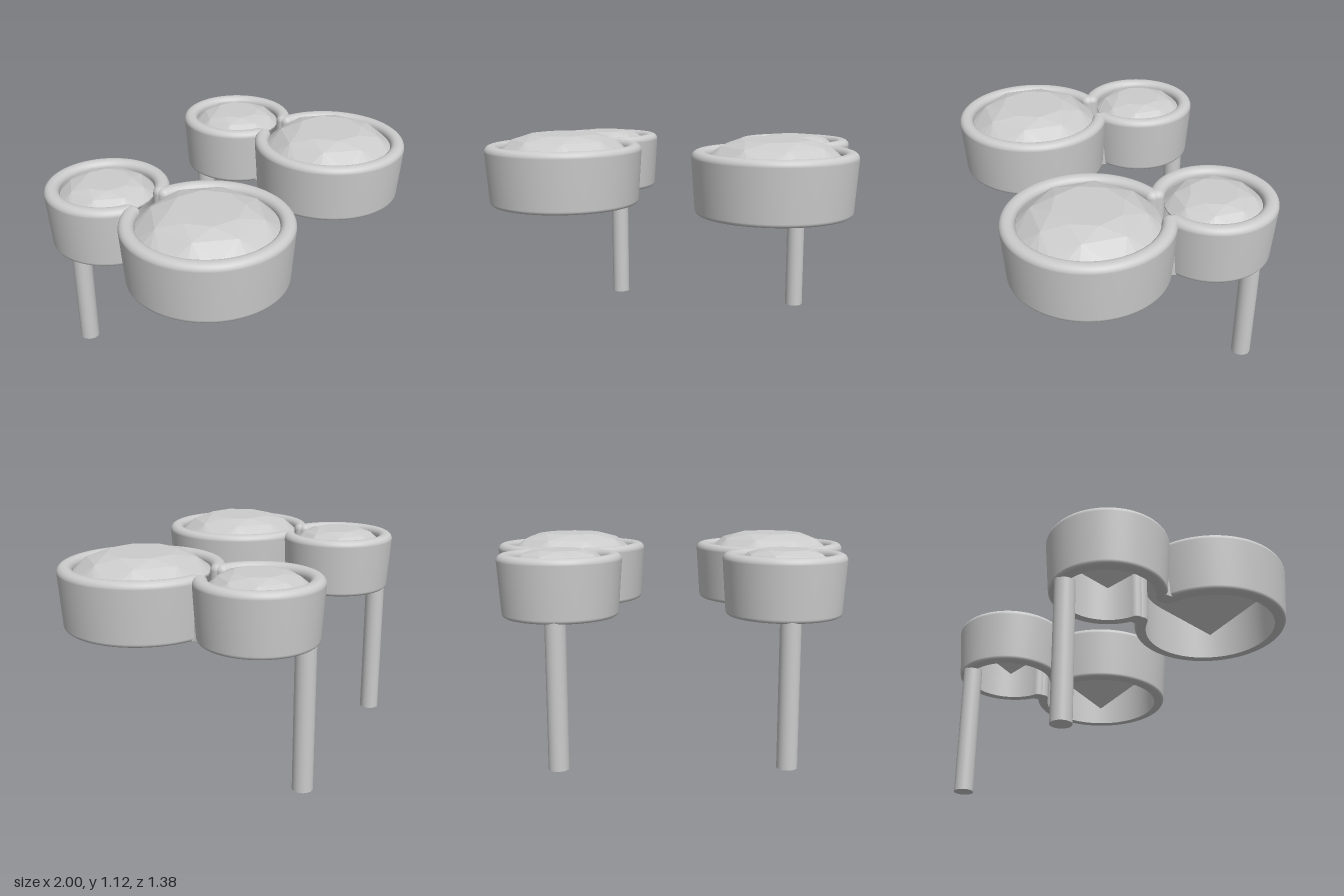
import * as THREE from 'three';
import { ConvexGeometry } from 'three/addons/geometries/ConvexGeometry.js';

const BOTTOM = 0.746, TOP = 1.067, ROUND = 0.034;
const metal = new THREE.MeshStandardMaterial({ color: 0xcccccc, side: THREE.DoubleSide });
const stone = new THREE.MeshStandardMaterial({ color: 0xcccccc, flatShading: true });

function addMesh(parent, name, geometry, material, x = 0, y = 0, z = 0) {
  const mesh = new THREE.Mesh(geometry, material);
  mesh.name = name;
  mesh.position.set(x, y, z);
  parent.add(mesh);
  return mesh;
}

// Quarter-round corner, sampled from angle a0 to a1
function corner(cx, cy, r, a0, a1, n = 6) {
  return Array.from({ length: n + 1 }, (_, i) => {
    const a = a0 + (a1 - a0) * i / n;
    return new THREE.Vector2(cx + r * Math.cos(a), cy + r * Math.sin(a));
  });
}

// Closed wall section: tapered outside, rounded rim, straight inside
function wallProfile(inner, outer) {
  const h = Math.PI / 2;
  const points = [
    new THREE.Vector2(inner, BOTTOM),
    new THREE.Vector2(inner + 0.002, BOTTOM),
    new THREE.Vector2(outer - 0.042, BOTTOM),
    ...corner(outer - 0.038, BOTTOM + 0.02, 0.02, -h, 0, 4),
    ...corner(outer - ROUND, TOP - ROUND, ROUND, 0, h),
    ...corner(inner + ROUND, TOP - ROUND, ROUND, h, 2 * h),
    new THREE.Vector2(inner, BOTTOM + 0.003),
    new THREE.Vector2(inner, BOTTOM),
  ];
  return points;
}

// Ring wall left open toward the neck; rounded posts finish both ends
function addBezel(parent, name, z, inner, outer, facing) {
  const middle = (inner + outer) / 2, endX = 0.125;
  const gap = Math.asin(endX / middle);
  const start = (facing < 0 ? Math.PI : 0) + gap;
  addMesh(parent, name, new THREE.LatheGeometry(
    wallProfile(inner, outer), 88, start, Math.PI * 2 - gap * 2), metal, 0, 0, z);

  const r = (outer - inner) / 2;
  const endProfile = [
    new THREE.Vector2(0, BOTTOM),
    new THREE.Vector2(r - 0.003, BOTTOM),
    new THREE.Vector2(r, BOTTOM + 0.004),
    ...corner(r - ROUND, TOP - ROUND, ROUND, 0, Math.PI / 2),
    new THREE.Vector2(0, TOP),
  ];
  for (const side of [-1, 1]) {
    addMesh(parent, name + 'End', new THREE.LatheGeometry(endProfile, 24), metal,
      side * endX, 0, z + facing * middle * Math.cos(gap));
  }
}

// Round faceted gem: table, crown, girdle and a pointed pavilion
function addGem(parent, name, z, radius, tableY) {
  const points = [];
  const ring = (n, r, y, offset) => {
    for (let i = 0; i < n; i++) {
      const a = (i + offset) * Math.PI * 2 / n;
      points.push(new THREE.Vector3(r * Math.sin(a) * radius, y * radius, r * Math.cos(a) * radius));
    }
  };
  ring(8, 0.52, 0, 0);
  ring(8, 0.8, -0.085, 0.5);
  ring(32, 1, -0.27, 0);
  ring(32, 1, -0.3, 0);
  points.push(new THREE.Vector3(0, -1.2 * radius, 0));
  addMesh(parent, name, new ConvexGeometry(points), stone, 0, tableY, z);
}

function createEarring(name) {
  const earring = new THREE.Group();
  earring.name = name;
  addBezel(earring, 'largeBezel', 0.267, 0.345, 0.423, -1);
  addBezel(earring, 'smallBezel', -0.373, 0.241, 0.319, 1);
  addGem(earring, 'largeGem', 0.267, 0.348, 1.123);
  addGem(earring, 'smallGem', -0.373, 0.244, 1.085);
  // Straight ear post under the back of the small setting
  addMesh(earring, 'earPost', new THREE.CylinderGeometry(0.053, 0.053, 0.755, 32), metal, 0, 0.3775, -0.617);
  return earring;
}

export function createModel() {
  const model = new THREE.Group();
  model.name = 'earringPair';
  for (const [name, x] of [['leftEarring', 0.577], ['rightEarring', -0.577]]) {
    const earring = createEarring(name);
    earring.position.x = x;
    model.add(earring);
  }
  return model;
}
